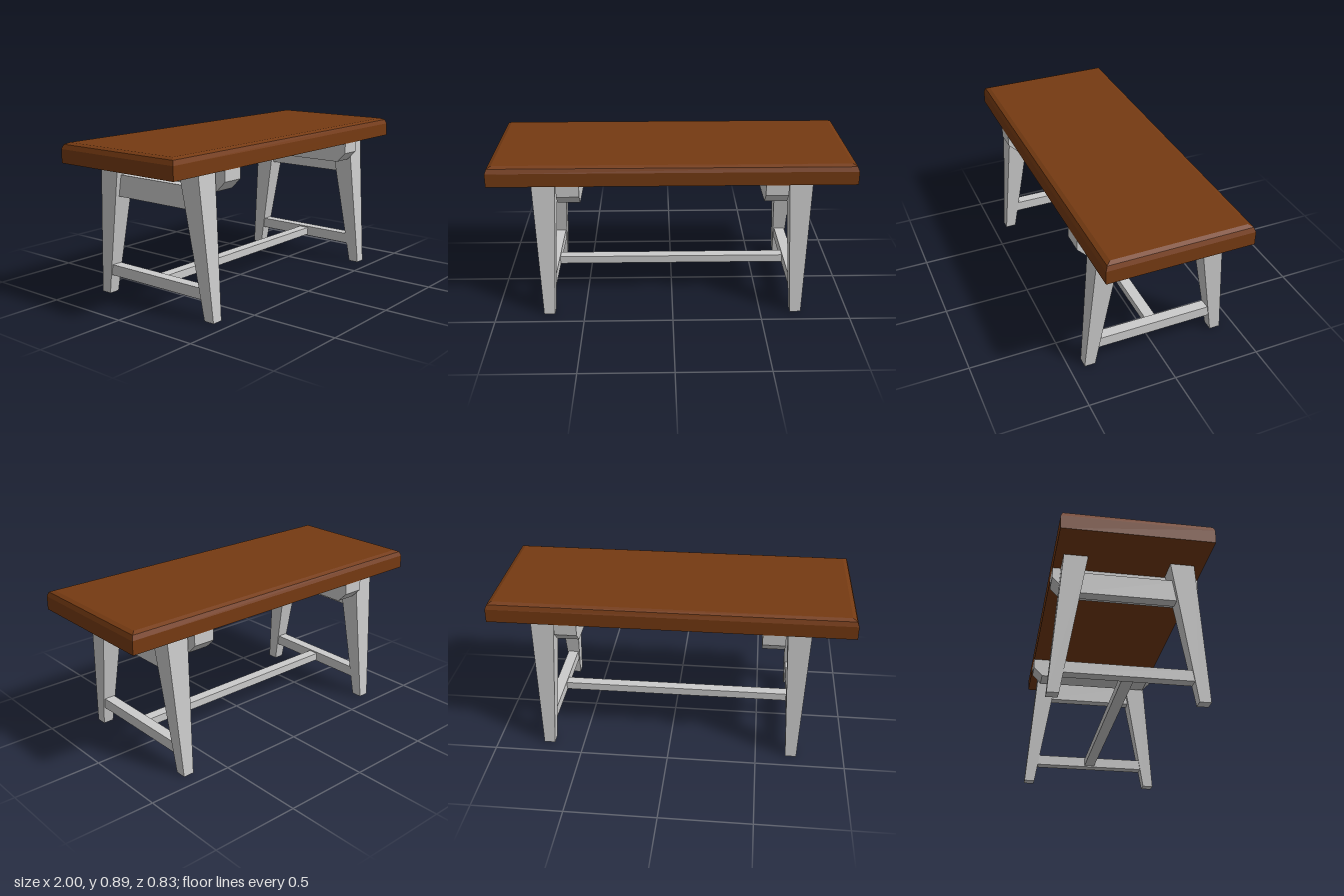
import * as THREE from 'three';

const grey = new THREE.MeshStandardMaterial({ color: 0xcccccc, flatShading: true });
const wood = new THREE.MeshStandardMaterial({ color: 0x753a12, flatShading: true });

// Solid lofted through level rectangles, listed bottom to top as [y, x0, x1, z0, z1]
function loft(levels) {
  const pos = [], index = [];
  for (const [y, x0, x1, z0, z1] of levels) {
    pos.push(x0, y, z1, x1, y, z1, x1, y, z0, x0, y, z0);
  }
  for (let i = 0; i < levels.length - 1; i++) {
    for (let j = 0; j < 4; j++) {
      const a = i * 4 + j, b = i * 4 + (j + 1) % 4;
      index.push(a, b, b + 4, a, b + 4, a + 4);
    }
  }
  const t = (levels.length - 1) * 4;
  index.push(0, 2, 1, 0, 3, 2, t, t + 1, t + 2, t, t + 2, t + 3);
  const indexed = new THREE.BufferGeometry();
  indexed.setAttribute('position', new THREE.Float32BufferAttribute(pos, 3));
  indexed.setIndex(index);
  const geo = indexed.toNonIndexed();
  geo.computeVertexNormals();
  return geo;
}

export function createModel() {
  const table = new THREE.Group();
  table.name = 'table';

  const add = (name, geo, x = 0, y = 0, z = 0, material = grey) => {
    const mesh = new THREE.Mesh(geo, material);
    mesh.name = name;
    mesh.position.set(x, y, z);
    table.add(mesh);
  };

  // Table top with an eased upper edge
  const topLevels = [[0.78, 0], [0.855, 0], [0.88, 0.01], [0.89, 0.033]]
    .map(([y, d]) => [y, d - 1, 1 - d, d - 0.402, 0.402 - d]);
  add('tableTop', loft(topLevels), 0, 0, 0.005, wood);

  // Support block with chamfered lower ends
  const block = loft([
    [0.665, -0.062, 0.062, -0.347, 0.347],
    [0.72, -0.062, 0.062, -0.402, 0.402],
    [0.78, -0.062, 0.062, -0.402, 0.402],
  ]);

  for (const sx of [-1, 1]) {
    const side = sx > 0 ? 'left' : 'right';

    // Tapered legs, leaning inwards towards the top
    for (const sz of [-1, 1]) {
      const foot = sz * 0.386, head = sz * 0.287;
      add(side + (sz > 0 ? 'FrontLeg' : 'BackLeg'), loft([
        [0, -0.031, 0.031, foot - 0.031, foot + 0.031],
        [0.78, -0.065, 0.065, head - 0.065, head + 0.065],
      ]), sx * 0.702);
    }

    // Rails joining each pair of legs, and the block under the top
    add(side + 'UpperRail', new THREE.BoxGeometry(0.062, 0.122, 0.58), sx * 0.702, 0.636, 0);
    add(side + 'LowerRail', new THREE.BoxGeometry(0.062, 0.061, 0.7), sx * 0.702, 0.143, 0);
    add(side + 'SupportBlock', block, sx * 0.565, 0, 0.005);
  }

  // Long stretcher between the two leg frames
  add('stretcher', new THREE.BoxGeometry(1.36, 0.045, 0.062), 0, 0.143, 0);

  return table;
}
